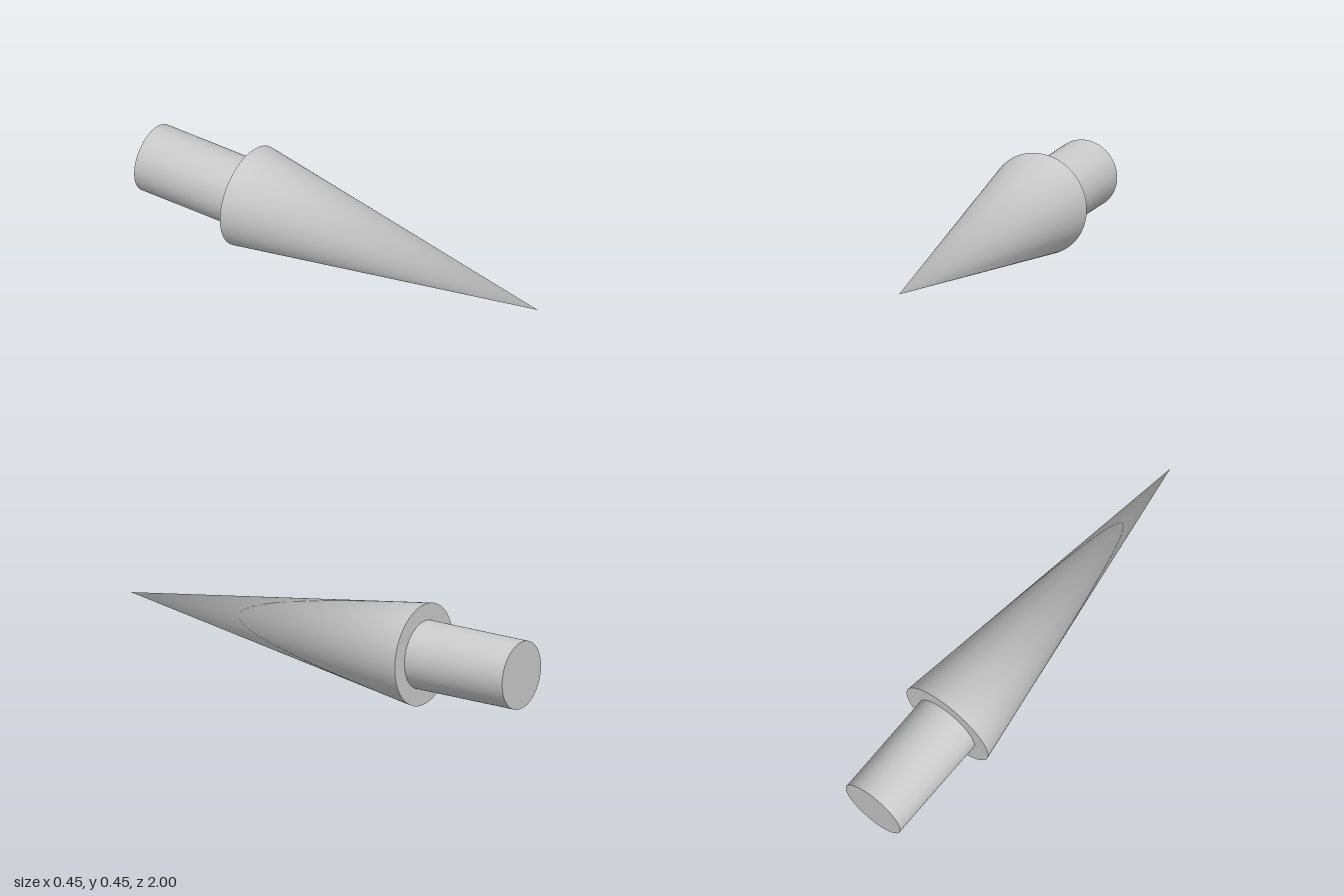
import * as THREE from 'three';
import { mergeVertices } from 'three/addons/utils/BufferGeometryUtils.js';

const SIDES = 128;
const TIP_RADIUS = 0.225;
const SHAFT_RADIUS = 0.15;
const TIP_Z = 1, SHOULDER_Z = -0.5, END_Z = -1;

export function createModel() {
  const group = new THREE.Group();
  const material = new THREE.MeshStandardMaterial({ color: 0xcccccc });

  const add = (name, geometry, z) => {
    const mesh = new THREE.Mesh(geometry, material);
    mesh.name = name;
    mesh.position.set(0, TIP_RADIUS, z);
    group.add(mesh);
  };

  // Pointed head: one shared apex vertex, so the shading runs smoothly over the point
  const length = TIP_Z - SHOULDER_Z;
  let cone = new THREE.ConeGeometry(TIP_RADIUS, length, SIDES, 1, true);
  cone.rotateX(Math.PI / 2);
  cone.deleteAttribute('uv');
  cone.deleteAttribute('normal');
  cone = mergeVertices(cone);
  cone.computeVertexNormals();
  add('pointedHead', cone, (TIP_Z + SHOULDER_Z) / 2);

  // Flat shoulder behind the head, around the shaft
  const shoulder = new THREE.RingGeometry(SHAFT_RADIUS, TIP_RADIUS, SIDES);
  shoulder.rotateY(Math.PI);
  add('shoulder', shoulder, SHOULDER_Z);

  // Straight shaft with a flat end
  const shaft = new THREE.CylinderGeometry(SHAFT_RADIUS, SHAFT_RADIUS, SHOULDER_Z - END_Z, SIDES);
  shaft.rotateX(Math.PI / 2);
  add('shaft', shaft, (SHOULDER_Z + END_Z) / 2);

  return group;
}
